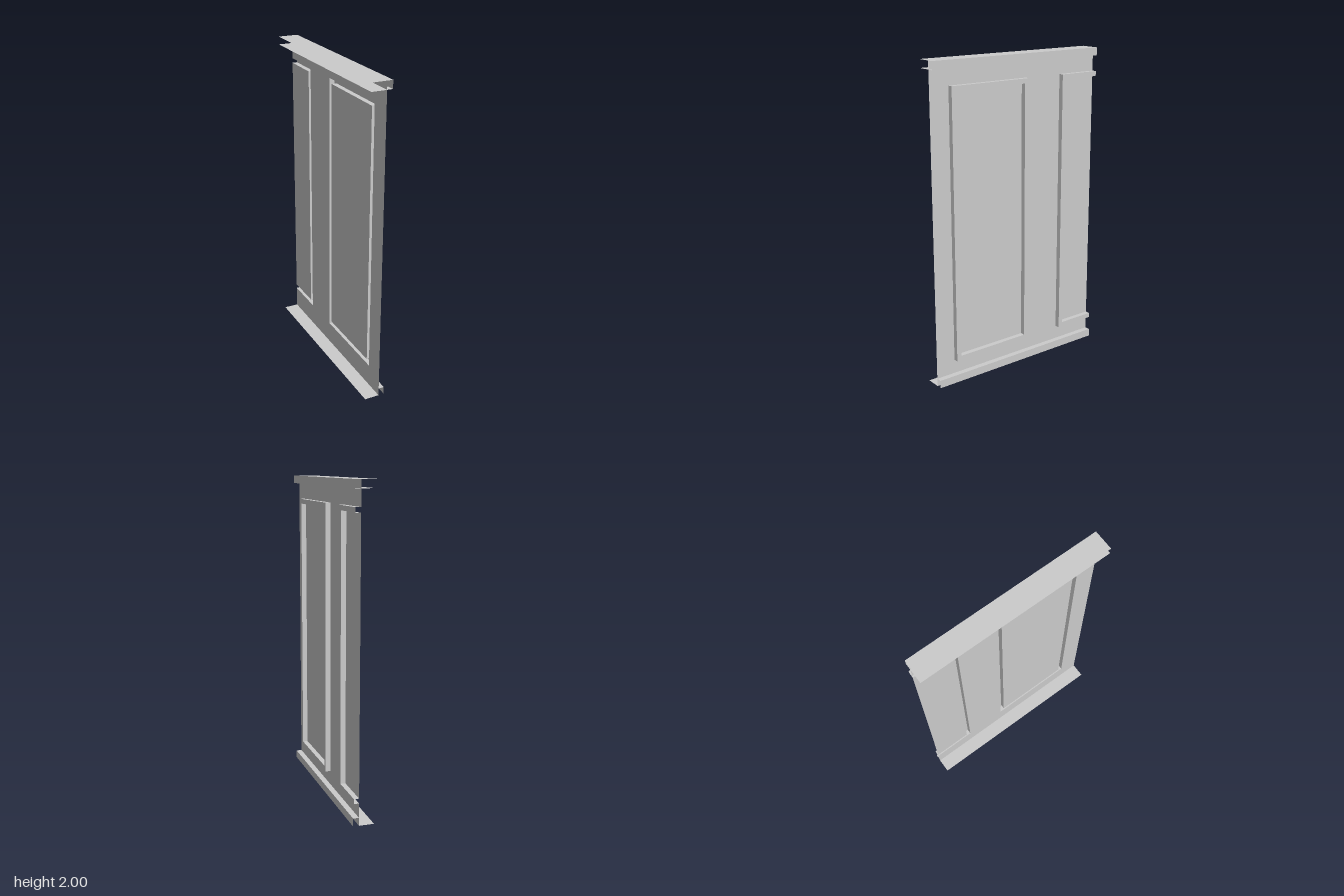
import * as THREE from 'three';

const material = new THREE.MeshStandardMaterial({ color: 0xcccccc, side: THREE.DoubleSide, flatShading: true });

const HALF = 0.62;     // half the wall length along z
const WALL_X = 0.029;  // plane of the wall sheet
const TRIM_X = 0.061;  // face of the panel mouldings
const EDGE_X = 0.065;  // face of the rails

// Corner lists use u = -z (rightwards when looking at the panelled face) and y.
const rect = (u0, y0, u1, y1) => [[u0, y0], [u1, y0], [u1, y1], [u0, y1]];
const vectors = (points) => points.map(([u, y]) => new THREE.Vector2(u, y));

export function createModel() {
  const model = new THREE.Group();
  model.name = 'panelledWall';

  const add = (parent, name, geometry) => {
    const mesh = new THREE.Mesh(geometry, material);
    mesh.name = name;
    parent.add(mesh);
  };

  // Flat upright sheet facing +x, with optional holes
  const sheet = (parent, name, x, outline, holes = []) => {
    const shape = new THREE.Shape(vectors(outline));
    holes.forEach((hole) => shape.holes.push(new THREE.Path(vectors(hole))));
    add(parent, name, new THREE.ShapeGeometry(shape).rotateY(Math.PI / 2).translate(x, 0, 0));
  };

  // Sides of a moulding: a path swept from the wall out to the trim face
  const sides = (parent, name, path) => {
    const position = [];
    for (let i = 0; i < path.length - 1; i++) {
      const [[u0, y0], [u1, y1]] = [path[i], path[i + 1]];
      const a = [WALL_X, y0, -u0], b = [WALL_X, y1, -u1];
      const c = [TRIM_X, y1, -u1], d = [TRIM_X, y0, -u0];
      position.push(...a, ...b, ...c, ...a, ...c, ...d);
    }
    const geometry = new THREE.BufferGeometry();
    geometry.setAttribute('position', new THREE.Float32BufferAttribute(position, 3));
    geometry.computeVertexNormals();
    add(parent, name, geometry);
  };

  // Full-length horizontal sheet between two x positions
  const shelf = (parent, name, x0, x1, y) => {
    const geometry = new THREE.PlaneGeometry(x1 - x0, 2 * HALF).rotateX(-Math.PI / 2);
    add(parent, name, geometry.translate((x0 + x1) / 2, y, 0));
  };

  // Moulding outlines: one whole panel, one cut off by the wall end
  const outer = rect(-0.49, 0.14, 0.07, 1.85);
  const inner = rect(-0.46, 0.17, 0.04, 1.82);
  const cutOuter = [[HALF, 0.14], [0.34, 0.14], [0.34, 1.85], [HALF, 1.85]];
  const cutInner = [[HALF, 0.17], [0.37, 0.17], [0.37, 1.82], [HALF, 1.82]];

  // Wall field, open behind the mouldings, and the inset panels
  sheet(model, 'wallField', WALL_X,
    [[-HALF, 0], [HALF, 0], ...cutOuter, [HALF, 2], [-HALF, 2]], [outer]);
  sheet(model, 'wholePanel', WALL_X, inner);
  sheet(model, 'cutPanel', WALL_X, cutInner);

  // Whole moulding
  const whole = new THREE.Group();
  whole.name = 'wholePanelMoulding';
  sheet(whole, 'mouldingFace', TRIM_X, outer, [inner]);
  sides(whole, 'outerSides', [...outer, outer[0]]);
  sides(whole, 'innerSides', [...inner, inner[0]]);
  model.add(whole);

  // Moulding left open at the wall end
  const cut = new THREE.Group();
  cut.name = 'cutPanelMoulding';
  sheet(cut, 'mouldingFace', TRIM_X, [...cutOuter, ...[...cutInner].reverse()]);
  sides(cut, 'outerSides', cutOuter);
  sides(cut, 'innerSides', cutInner);
  model.add(cut);

  // Top rail: cap, underside and face, open at the back and ends
  const topRail = new THREE.Group();
  topRail.name = 'topRail';
  sheet(topRail, 'railFace', EDGE_X, rect(-HALF, 1.95, HALF, 2));
  shelf(topRail, 'railCap', -EDGE_X, EDGE_X, 2);
  shelf(topRail, 'railUnderside', -EDGE_X, EDGE_X, 1.95);
  model.add(topRail);

  // Skirting with open underside, and the floor strip behind the wall
  const skirting = new THREE.Group();
  skirting.name = 'skirting';
  sheet(skirting, 'skirtingFace', EDGE_X, rect(-HALF, 0, HALF, 0.05));
  shelf(skirting, 'skirtingLedge', WALL_X, EDGE_X, 0.05);
  model.add(skirting);
  shelf(model, 'floorStrip', -EDGE_X, WALL_X, 0);

  return model;
}
